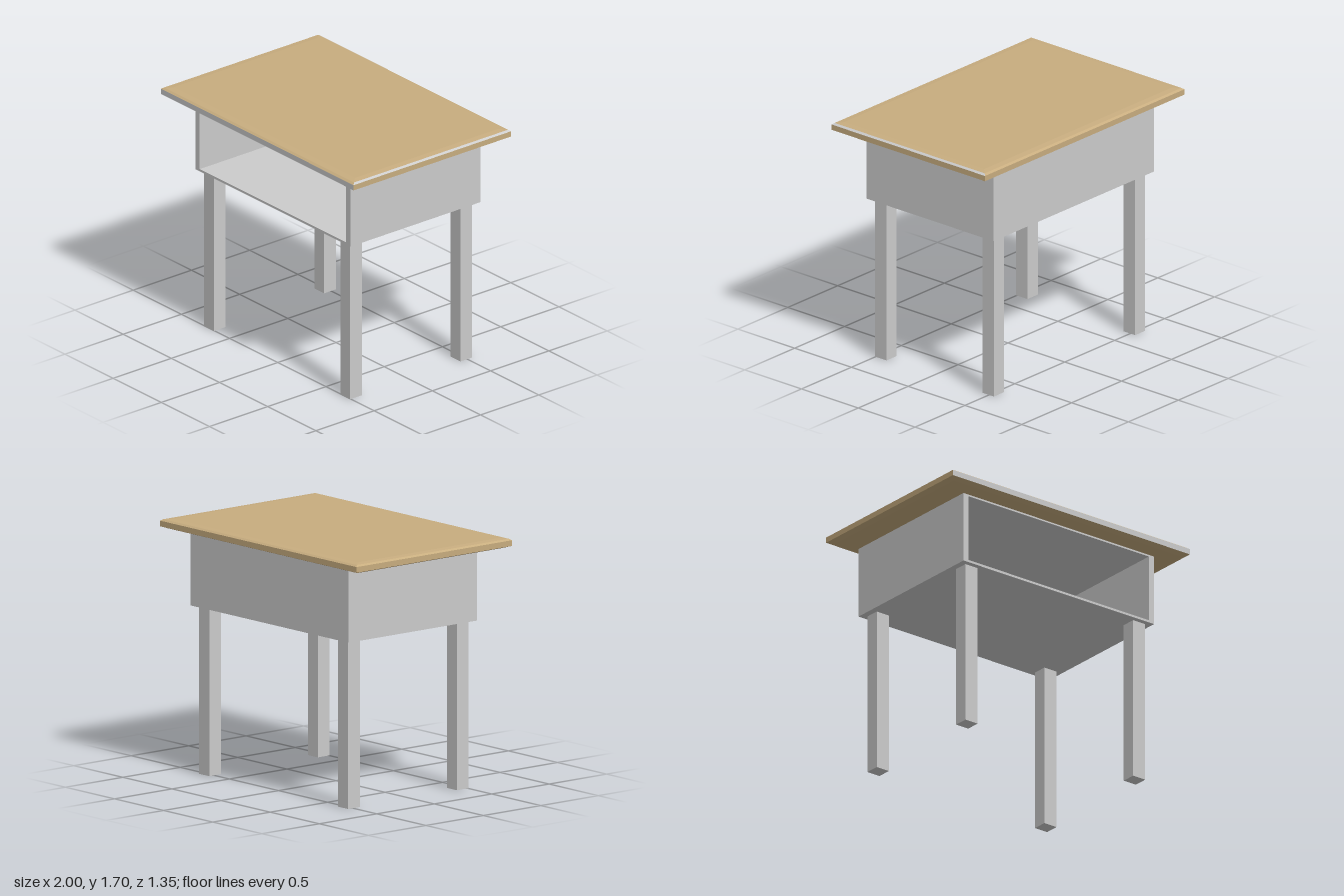
import * as THREE from 'three';

const grey = new THREE.MeshStandardMaterial({ color: 0xcccccc, flatShading: true });
const wood = new THREE.MeshStandardMaterial({ color: 0xc8ad7f, flatShading: true });

// Box given by its minimum and maximum corners
function addBox(parent, name, [x0, y0, z0], [x1, y1, z1]) {
  const mesh = new THREE.Mesh(new THREE.BoxGeometry(x1 - x0, y1 - y0, z1 - z0), grey);
  mesh.position.set((x0 + x1) / 2, (y0 + y1) / 2, (z0 + z1) / 2);
  mesh.name = name;
  parent.add(mesh);
}

// Slab lofted through rectangles of [height, inset], with two material slots
function slabGeometry(halfX, halfZ, profile, isGrey) {
  const rings = profile.map(([y, inset]) => {
    const x = halfX - inset, z = halfZ - inset;
    return [[-x, y, z], [x, y, z], [x, y, -z], [-x, y, -z]];
  });
  const geometry = new THREE.BufferGeometry();
  const points = [];
  const quad = (a, b, c, d, material = 0) => {
    geometry.addGroup(points.length / 3, 6, material);
    points.push(...a, ...b, ...c, ...a, ...c, ...d);
  };
  for (let i = 0; i < rings.length - 1; i++) {
    for (let s = 0; s < 4; s++) {
      const n = (s + 1) % 4;
      quad(rings[i][s], rings[i][n], rings[i + 1][n], rings[i + 1][s], isGrey(i, s) ? 1 : 0);
    }
  }
  quad(...rings[rings.length - 1]);
  quad(...[...rings[0]].reverse());
  geometry.setAttribute('position', new THREE.Float32BufferAttribute(points, 3));
  geometry.computeVertexNormals();
  return geometry;
}

export function createModel() {
  const desk = new THREE.Group();
  desk.name = 'desk';

  // Wooden top with softened edges; front edge and left upper bevel are grey
  const profile = [[1.628, 0.1], [1.638, 0.04], [1.652, 0], [1.69, 0], [1.7, 0.015], [1.704, 0.06]];
  const top = new THREE.Mesh(
    slabGeometry(1, 0.676, profile, (band, side) => (band === 2 && side === 0) || (band === 3 && side === 1)),
    [wood, grey]
  );
  top.name = 'tabletop';
  desk.add(top);

  // Storage compartment, open at the front
  const box = new THREE.Group();
  box.name = 'storageBox';
  const X = 0.803, wall = 0.043, y0 = 1.135, y1 = 1.632, back = -0.578, front = 0.541;
  const inner = X - wall;
  addBox(box, 'rightPanel', [-X, y0, back], [-inner, y1, front]);
  addBox(box, 'leftPanel', [inner, y0, back], [X, y1, front]);
  addBox(box, 'floorPanel', [-inner, y0, back], [inner, y0 + 0.016, front]);
  addBox(box, 'ceilingPanel', [-inner, y1 - 0.016, back], [inner, y1, front]);
  addBox(box, 'backPanel', [-inner, y0 + 0.016, back], [inner, y1 - 0.016, back + 0.04]);
  desk.add(box);

  // Four square legs
  for (const [row, z] of [['front', 0.404], ['back', -0.542]]) {
    addBox(desk, row + 'RightLeg', [-0.758, 0, z], [-0.656, y0, z + 0.101]);
    addBox(desk, row + 'LeftLeg', [0.656, 0, z], [0.758, y0, z + 0.101]);
  }
  return desk;
}
